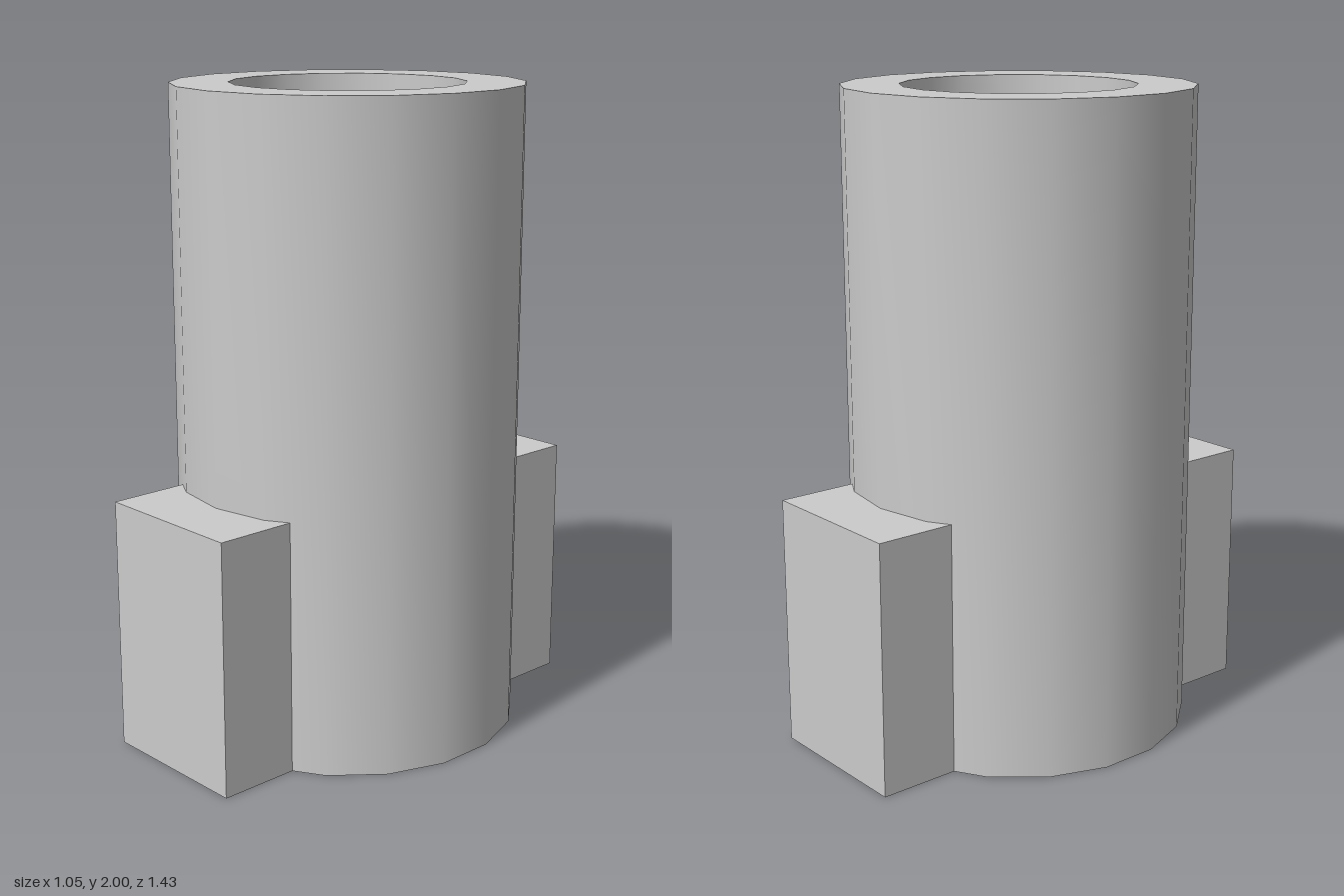
import * as THREE from 'three';
import { toCreasedNormals } from 'three/addons/utils/BufferGeometryUtils.js';

const SIDES = 18, OUTER = 0.535, INNER = 0.357, HEIGHT = 2;
const LUG_HALF = 0.252, LUG_REACH = 0.717, LUG_HEIGHT = 0.783;

export function createModel() {
  const group = new THREE.Group();
  const material = new THREE.MeshStandardMaterial({ color: 0xcccccc });

  // Thick-walled tube: a rectangular section turned around the y axis
  const section = [[OUTER, 0], [OUTER, HEIGHT], [INNER, HEIGHT], [INNER, 0], [OUTER, 0]]
    .map(([r, y]) => new THREE.Vector2(r, y));
  const tube = new THREE.Mesh(toCreasedNormals(new THREE.LatheGeometry(section, SIDES), 0.6), material);
  tube.name = 'tube';
  group.add(tube);

  // Lug plan: a rectangle whose inner edge follows the facets of the tube
  const corner = (i) => {
    const a = (i * 2 * Math.PI) / SIDES;
    return new THREE.Vector2(OUTER * Math.sin(a), OUTER * Math.cos(a));
  };
  const c1 = corner(1), c2 = corner(2);
  const edge = c1.clone().lerp(c2, (LUG_HALF - c1.x) / (c2.x - c1.x));
  const plan = new THREE.Shape([
    new THREE.Vector2(-LUG_HALF, edge.y), corner(-1), corner(0), c1, edge,
    new THREE.Vector2(LUG_HALF, LUG_REACH), new THREE.Vector2(-LUG_HALF, LUG_REACH),
  ]);
  const lugGeometry = new THREE.ExtrudeGeometry(plan, { depth: LUG_HEIGHT, bevelEnabled: false });
  lugGeometry.rotateX(-Math.PI / 2);

  // Matching lugs at the back and the front
  ['backLug', 'frontLug'].forEach((name, i) => {
    const lug = new THREE.Mesh(lugGeometry, material);
    lug.name = name;
    lug.rotation.y = i * Math.PI;
    group.add(lug);
  });

  return group;
}
